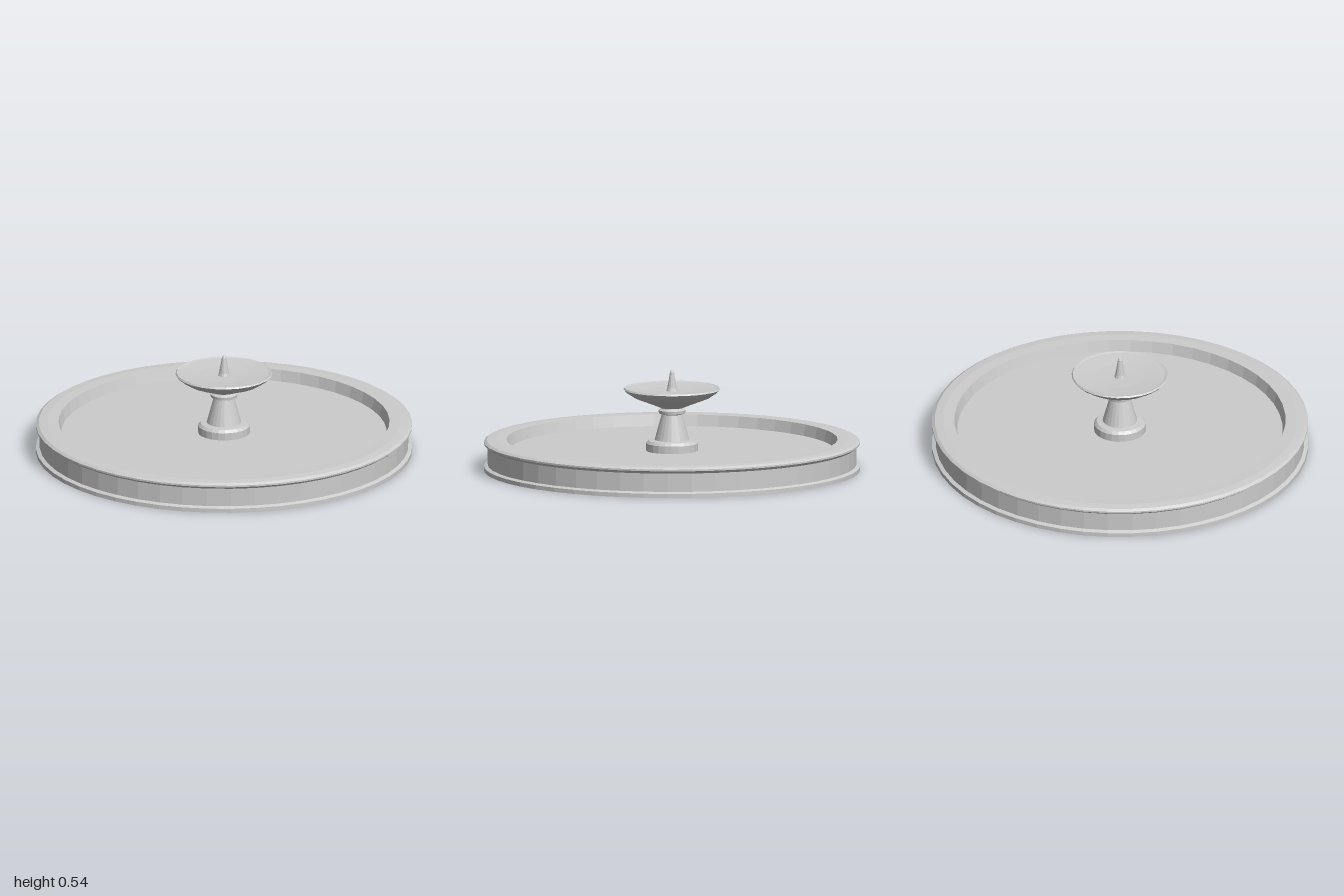
import * as THREE from 'three';

export function createModel() {
  const model = new THREE.Group();
  const stone = new THREE.MeshStandardMaterial({ color: 0xcccccc, flatShading: true, side: THREE.DoubleSide });
  stone.name = 'grey stone';

  // Turns a profile of [radius, height] points, listed from bottom to top
  const turn = (name, sides, profile) => {
    const points = profile.map(([r, y]) => new THREE.Vector2(r, y));
    const mesh = new THREE.Mesh(new THREE.LatheGeometry(points, sides), stone);
    mesh.name = name;
    model.add(mesh);
  };

  // Thin basin shell, open underneath: foot lip, wall, rounded rim, inner slope
  turn('basinWall', 48, [
    [1, 0], [1, 0.022], [0.98, 0.03], [0.98, 0.128], [0.988, 0.138],
    [1, 0.143], [1, 0.152], [0.985, 0.162], [0.94, 0.166], [0.88, 0.165], [0.865, 0.105],
  ]);

  // Raised basin floor
  turn('basinFloor', 48, [[0.865, 0.105], [0, 0.105]]);

  // Pedestal: round plinth, tapering shaft and collar
  turn('pedestal', 24, [
    [0.138, 0.105], [0.138, 0.145], [0.125, 0.16], [0.092, 0.163],
    [0.055, 0.3], [0.07, 0.306], [0.072, 0.322], [0.058, 0.33], [0.055, 0.34],
  ]);

  // Shallow upper bowl
  turn('upperBowl', 24, [
    [0, 0.335], [0.06, 0.335], [0.11, 0.355], [0.2, 0.39], [0.245, 0.42],
    [0.258, 0.434], [0.252, 0.442], [0.24, 0.438], [0.13, 0.428], [0, 0.424],
  ]);

  // Pointed spout with a blunt tip
  turn('spout', 12, [[0.033, 0.42], [0.026, 0.44], [0.011, 0.525], [0.006, 0.535], [0, 0.537]]);

  return model;
}
